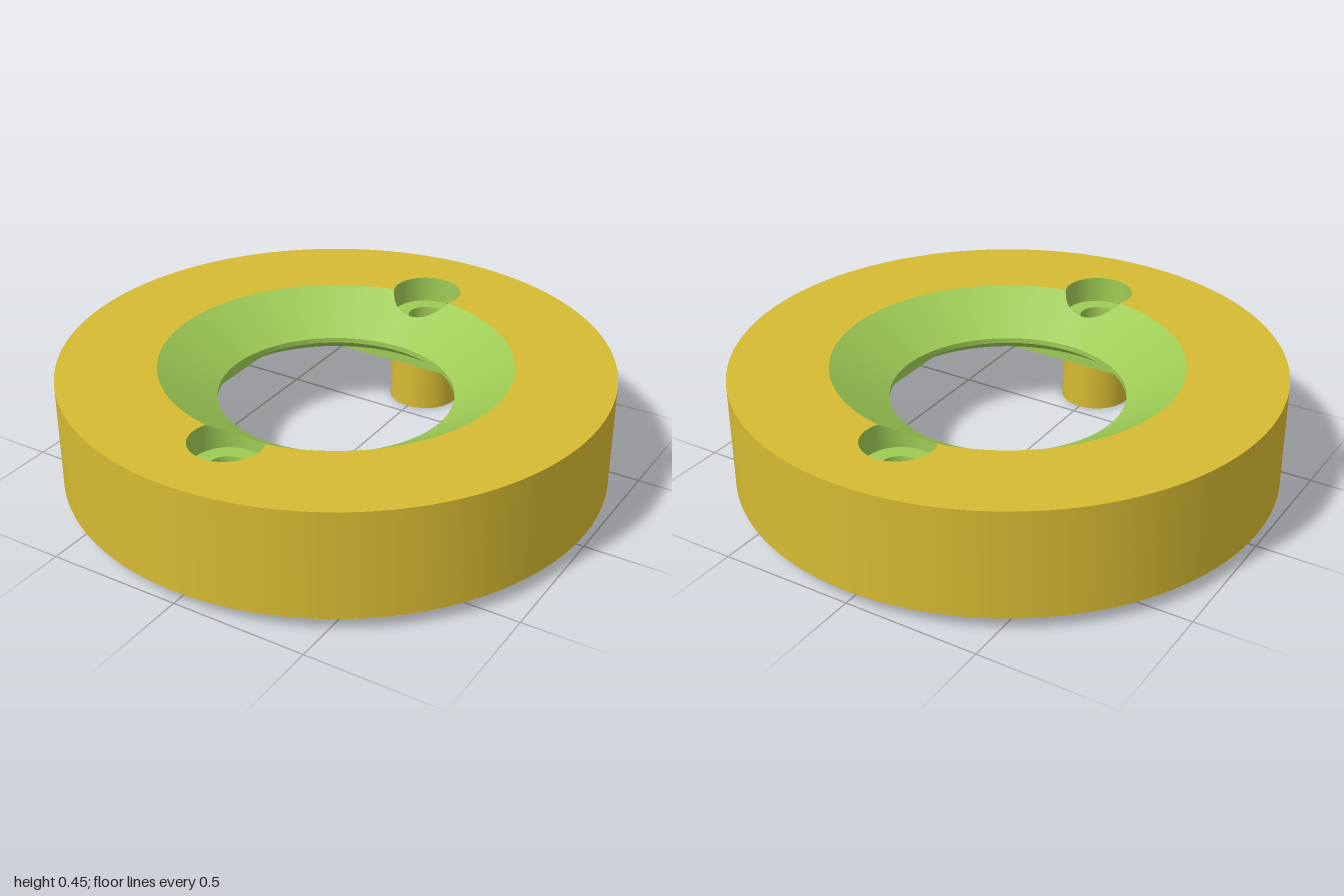
import * as THREE from 'three';

const SEG = 96;
const TOP = 0.45, RIM = 0.05, CEIL = 0.21, POCKET = 0.25, BORE_Y = 0.35;
const THROAT_TOP = 0.32, THROAT_LOW = 0.3;
const R_OUT = 1, R_CAVITY = 0.934, R_DISH = 0.64, R_THROAT = 0.43, R_FLARE = 0.5;
const POST_Z = 0.68, R_POST = 0.135, R_BORE = 0.13, R_SCREW = 0.07;
const BLIND_X = 0.66, R_BLIND = 0.08, HALF_SQUARE = 0.505;

export function createModel() {
  const model = new THREE.Group();
  model.name = 'mountingRing';
  const yellow = new THREE.MeshStandardMaterial({ color: 0xd6ba32, side: THREE.DoubleSide });
  yellow.name = 'mustardYellow';
  const green = new THREE.MeshStandardMaterial({ color: 0x9dcb55, side: THREE.DoubleSide });
  green.name = 'leafGreen';

  const add = (name, geo, mat, x = 0, y = 0, z = 0) => {
    const mesh = new THREE.Mesh(geo, mat);
    mesh.name = name;
    mesh.position.set(x, y, z);
    model.add(mesh);
  };
  // One straight profile segment turned around the y axis
  const band = (r0, y0, r1, y1) =>
    new THREE.LatheGeometry([new THREE.Vector2(r0, y0), new THREE.Vector2(r1, y1)], SEG);
  const circle = (Kind, r, x = 0, v = 0) => new Kind().absarc(x, v, r, 0, Math.PI * 2, false);
  // Flat plate with holes, facing up or down
  const plate = (shape, holes, up) => {
    shape.holes.push(...holes);
    return new THREE.ShapeGeometry(shape, SEG).rotateX(up ? -Math.PI / 2 : Math.PI / 2);
  };
  const square = (Kind) => {
    const s = HALF_SQUARE, p = new Kind();
    p.moveTo(-s, -s).lineTo(s, -s).lineTo(s, s).lineTo(-s, s).lineTo(-s, -s);
    return p;
  };
  // Surface between two closed loops of points given by angle
  const loft = (lower, upper, n = 360) => {
    const pos = [], idx = [];
    for (let i = 0; i <= n; i++) {
      const a = (i / n) * Math.PI * 2;
      pos.push(...lower(a), ...upper(a));
      if (i < n) idx.push(2 * i, 2 * i + 2, 2 * i + 1, 2 * i + 1, 2 * i + 2, 2 * i + 3);
    }
    const g = new THREE.BufferGeometry();
    g.setAttribute('position', new THREE.Float32BufferAttribute(pos, 3));
    g.setIndex(idx);
    g.computeVertexNormals();
    return g;
  };
  // Height of the dished cone at a radius
  const dishY = (r) =>
    Math.min(TOP, THROAT_TOP + ((r - R_THROAT) / (R_DISH - R_THROAT)) * (TOP - THROAT_TOP));

  // Top face: the dish opening merges with both screw recesses
  const A = Math.acos((POST_Z ** 2 + R_DISH ** 2 - R_BORE ** 2) / (2 * POST_Z * R_DISH));
  const B = Math.atan2(R_DISH * Math.cos(A) - POST_Z, R_DISH * Math.sin(A));
  const opening = new THREE.Path();
  for (const off of [0, Math.PI]) {
    opening.absarc(0, 0, R_DISH, off - Math.PI / 2 + A, off + Math.PI / 2 - A, false);
    opening.absarc(0, off ? -POST_Z : POST_Z, R_BORE, off + B, off + Math.PI - B, false);
  }
  add('topFace', plate(circle(THREE.Shape, R_OUT), [opening], true), yellow, 0, TOP);

  // Outer body and lower cavity
  add('outerWall', band(R_OUT, RIM, R_OUT, TOP), yellow);
  add('bottomRim', plate(circle(THREE.Shape, R_OUT), [circle(THREE.Path, R_CAVITY)], false), yellow, 0, RIM);
  add('cavityWall', band(R_CAVITY, CEIL, R_CAVITY, RIM), green);
  add('cavityCeiling', plate(circle(THREE.Shape, R_CAVITY), [
    square(THREE.Path),
    ...[-1, 1].map((s) => circle(THREE.Path, R_POST, 0, s * POST_Z)),
    ...[-1, 1].map((s) => circle(THREE.Path, R_BLIND, s * BLIND_X, 0)),
  ], false), yellow, 0, CEIL);

  // Square pocket
  add('pocketCeiling', plate(square(THREE.Shape), [circle(THREE.Path, R_FLARE)], false), green, 0, POCKET);
  for (let i = 0; i < 4; i++) {
    const a = (i * Math.PI) / 2;
    const wall = new THREE.PlaneGeometry(HALF_SQUARE * 2, POCKET - CEIL)
      .translate(0, (POCKET + CEIL) / 2, -HALF_SQUARE).rotateY(a);
    add('pocketWall', wall, green);
  }

  // Dished opening, cut back where the screw recesses bite into it
  const dishEdge = (a) => {
    const c = Math.abs(Math.cos(a)), s = Math.sin(a);
    const d = R_BORE ** 2 - (POST_Z * s) ** 2;
    return d > 0 ? Math.min(R_DISH, POST_Z * c - Math.sqrt(d)) : R_DISH;
  };
  const ringPoint = (a, r, y) => [r * Math.sin(a), y, r * Math.cos(a)];
  add('dish', loft(
    (a) => ringPoint(a, R_THROAT, THROAT_TOP),
    (a) => ringPoint(a, dishEdge(a), dishY(dishEdge(a)))), green);
  add('throat', band(R_THROAT, THROAT_TOP, R_THROAT, THROAT_LOW), green);
  add('lowerFlare', band(R_THROAT, THROAT_LOW, R_FLARE, POCKET), green);

  for (const s of [-1, 1]) {
    // Screw post with recess and through hole
    const z = s * POST_Z;
    add('postWall', band(R_POST, 0, R_POST, CEIL), yellow, 0, 0, z);
    add('postEnd', plate(circle(THREE.Shape, R_POST), [circle(THREE.Path, R_SCREW)], false), yellow, 0, 0, z);
    add('screwHole', band(R_SCREW, BORE_Y, R_SCREW, 0), green, 0, 0, z);
    add('recessFloor', plate(circle(THREE.Shape, R_BORE), [circle(THREE.Path, R_SCREW)], true), green, 0, BORE_Y, z);
    add('recessWall', loft(
      (a) => ringPoint(-a, R_BORE, BORE_Y),
      (a) => {
        const [x, , dz] = ringPoint(-a, R_BORE, 0);
        return [x, dishY(Math.hypot(x, dz + z)), dz];
      }, 120), green, 0, 0, z);

    // Blind hole in the cavity ceiling
    add('blindHole', band(R_BLIND, BORE_Y, R_BLIND, CEIL), green, s * BLIND_X);
    add('blindHoleEnd', plate(circle(THREE.Shape, R_BLIND), [], false), green, s * BLIND_X, BORE_Y);
  }
  return model;
}
